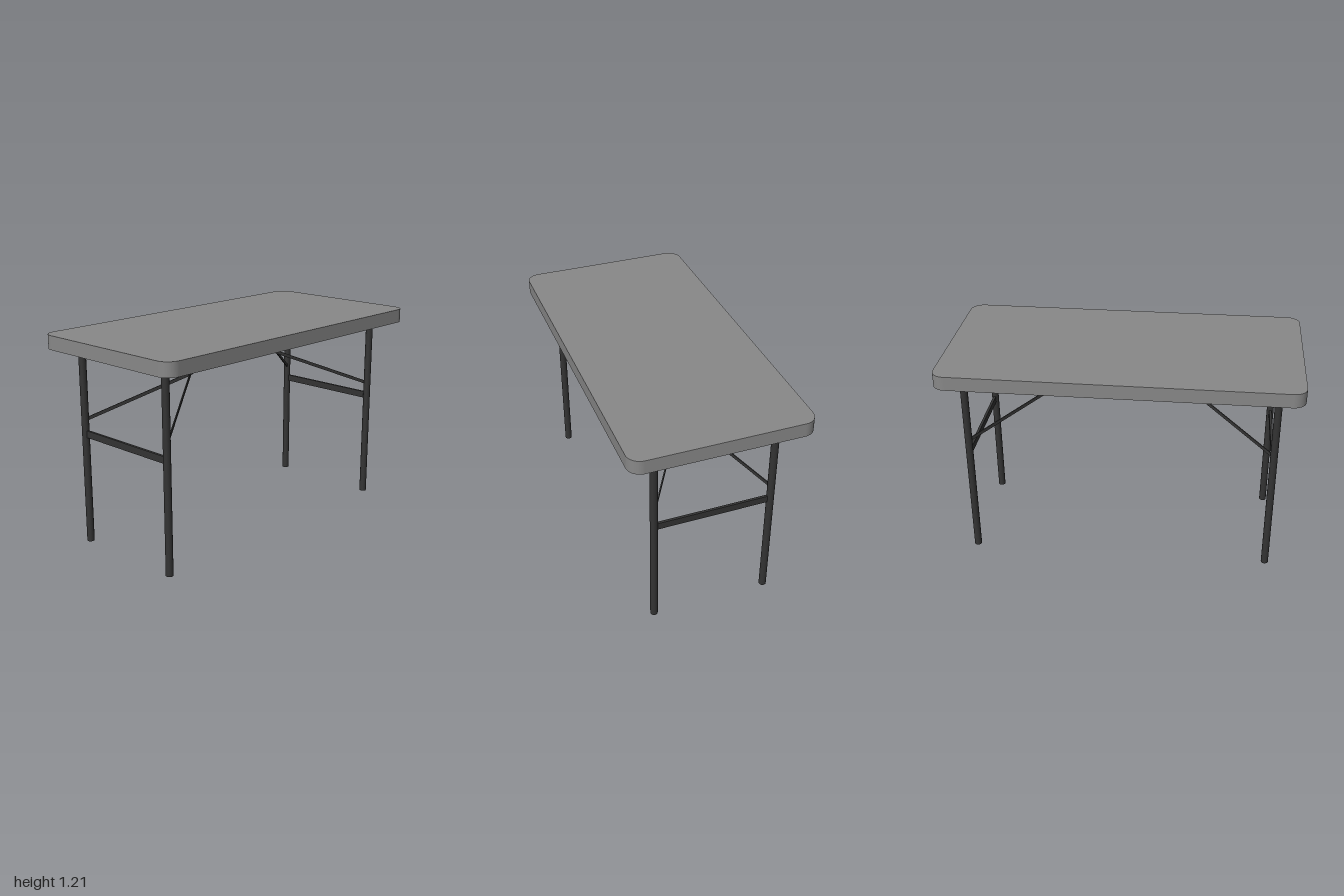
import * as THREE from 'three';

export function createModel() {
  const table = new THREE.Group();
  table.name = 'foldingTable';
  const topMat = new THREE.MeshStandardMaterial({ color: 0x888888 });
  const metal = new THREE.MeshStandardMaterial({ color: 0x333333 });

  const add = (parent, name, geometry, material, x = 0, y = 0, z = 0) => {
    const mesh = new THREE.Mesh(geometry, material);
    mesh.name = name;
    mesh.position.set(x, y, z);
    parent.add(mesh);
    return mesh;
  };

  // Thin upright strip running between two points
  const strip = (parent, name, a, b) => {
    const mid = a.clone().lerp(b, 0.5);
    const mesh = add(parent, name, new THREE.BoxGeometry(0.006, 0.019, a.distanceTo(b)), metal, mid.x, mid.y, mid.z);
    mesh.lookAt(b);
  };

  // Table top: rounded rectangle slab
  const w = 0.5, d = 1, r = 0.075;
  const outline = new THREE.Shape();
  outline.absarc(w - r, d - r, r, 0, Math.PI / 2);
  outline.absarc(-w + r, d - r, r, Math.PI / 2, Math.PI);
  outline.absarc(-w + r, -d + r, r, Math.PI, Math.PI * 1.5);
  outline.absarc(w - r, -d + r, r, Math.PI * 1.5, Math.PI * 2);
  outline.closePath();
  const slab = new THREE.ExtrudeGeometry(outline, { depth: 0.08, bevelEnabled: false, curveSegments: 10 });
  slab.rotateX(-Math.PI / 2);
  add(table, 'tableTop', slab, topMat, 0, 1.13, 0);

  // Leg frame and folding brace at each end
  for (const end of [1, -1]) {
    const frame = new THREE.Group();
    frame.name = end > 0 ? 'frontLegFrame' : 'backLegFrame';
    table.add(frame);
    const z = 0.865 * end;
    const joint = new THREE.Vector3(0, 0.957, 0.37 * end);

    for (const side of [1, -1]) {
      const label = side > 0 ? 'left' : 'right';
      add(frame, label + 'Leg', new THREE.CylinderGeometry(0.021, 0.021, 1.13, 20), metal, 0.333 * side, 0.565, z);
      strip(frame, label + 'BraceArm', new THREE.Vector3(0.333 * side, 0.727, z), joint);
    }
    add(frame, 'crossbar', new THREE.BoxGeometry(0.666, 0.04, 0.015), metal, 0, 0.647, z);
    strip(frame, 'centreBrace', joint, new THREE.Vector3(0, 1.13, 0));
  }
  return table;
}
